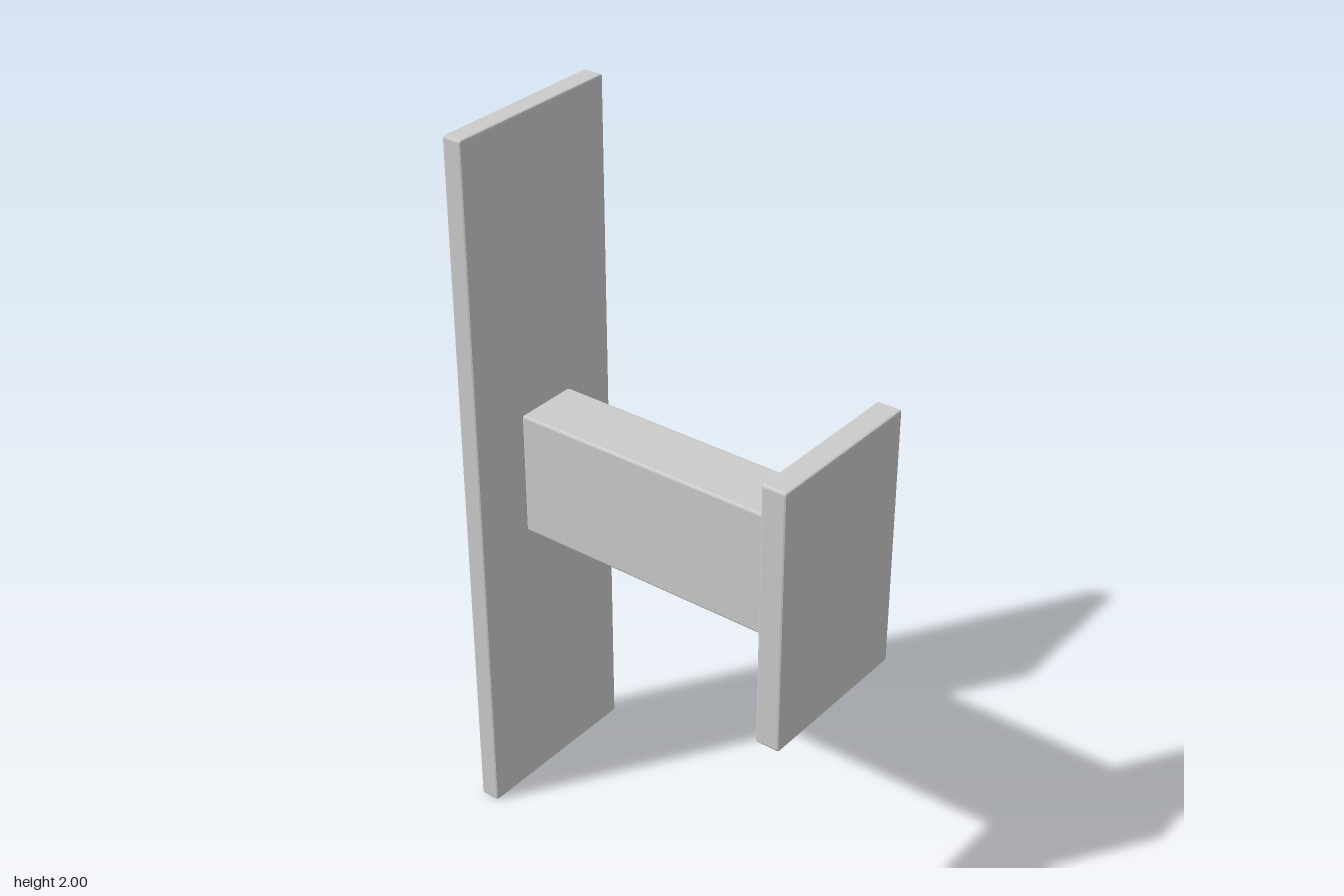
import * as THREE from 'three';
import { RoundedBoxGeometry } from 'three/addons/geometries/RoundedBoxGeometry.js';

const BEVEL = 0.006;

// Box with finely bevelled edges, given by its [min, max] extents; x is symmetric.
function slab(name, width, [y0, y1], [z0, z1], material) {
  const geometry = new RoundedBoxGeometry(width, y1 - y0, z1 - z0, 1, BEVEL);
  const mesh = new THREE.Mesh(geometry, material);
  mesh.name = name;
  mesh.position.set(0, (y0 + y1) / 2, (z0 + z1) / 2);
  return mesh;
}

export function createModel() {
  const group = new THREE.Group();
  group.name = 'plateBracket';
  const grey = new THREE.MeshStandardMaterial({ color: 0xcccccc, flatShading: true });

  group.add(
    // Tall plate at the back
    slab('backPlate', 0.524, [0, 2], [-0.498, -0.44], grey),
    // Horizontal beam joining the two plates
    slab('connectingBeam', 0.186, [0.826, 1.18], [-0.438, 0.425], grey),
    // Short plate at the front
    slab('frontPlate', 0.482, [0.627, 1.38], [0.427, 0.498], grey),
  );
  return group;
}
